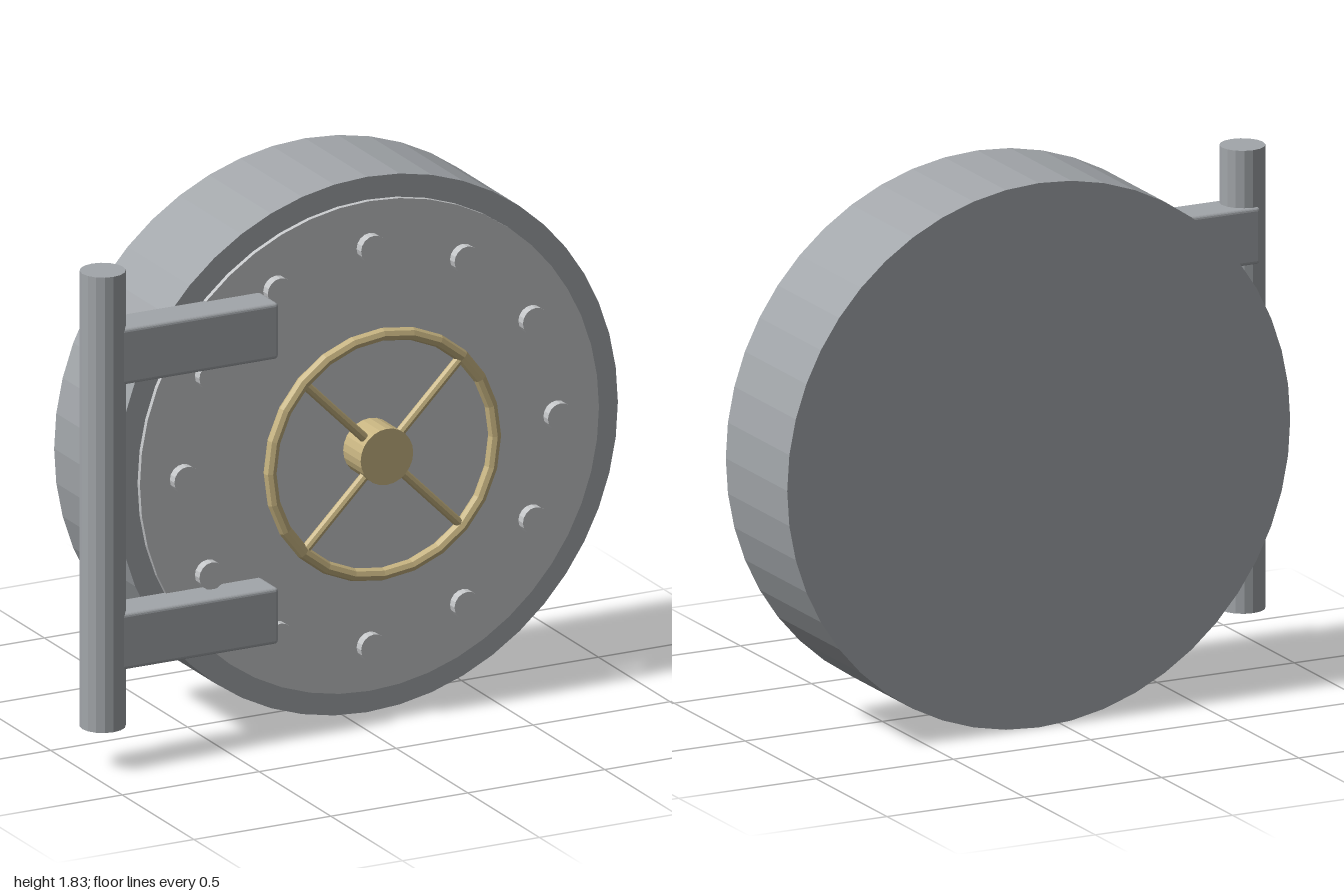
import * as THREE from 'three';
import { RoundedBoxGeometry } from 'three/addons/geometries/RoundedBoxGeometry.js';

export function createModel() {
  const model = new THREE.Group();
  model.name = 'vaultDoor';

  const material = (name, color) => {
    const m = new THREE.MeshStandardMaterial({ color, flatShading: true });
    m.name = name;
    return m;
  };
  const steel = material('steel', 0xa2a6aa);
  const paleSteel = material('pale steel', 0xc4c6c8);
  const brass = material('brass', 0xc8b582);

  const add = (parent, name, geometry, mat, x = 0, y = 0, z = 0) => {
    const mesh = new THREE.Mesh(geometry, mat);
    mesh.name = name;
    mesh.position.set(x, y, z);
    parent.add(mesh);
    return mesh;
  };
  // Round disc facing +z, from z0 to z1
  const disc = (parent, name, radius, z0, z1, sides, mat, x = 0, y = 0) =>
    add(parent, name, new THREE.CylinderGeometry(radius, radius, z1 - z0, sides).rotateX(Math.PI / 2),
      mat, x, y, (z0 + z1) / 2);

  // Door leaf, centred on its own axis
  const door = new THREE.Group();
  door.name = 'door';
  door.position.set(0.083, 0.918, 0);
  model.add(door);
  disc(door, 'doorBody', 0.916, -0.295, 0.138, 48, steel);
  disc(door, 'facePlate', 0.838, 0.13, 0.155, 48, paleSteel);

  // Ring of locking bolts
  for (let i = 0; i < 12; i++) {
    const a = (i * Math.PI) / 6;
    disc(door, 'bolt', 0.047, 0.15, 0.187, 16, paleSteel, 0.682 * Math.cos(a), 0.682 * Math.sin(a));
  }

  // Hand wheel with hub and two crossed spoke bars
  const wheel = new THREE.Group();
  wheel.name = 'handWheel';
  door.add(wheel);
  add(wheel, 'wheelRim', new THREE.TorusGeometry(0.41, 0.022, 8, 24), brass, 0, 0, 0.245);
  disc(wheel, 'wheelHub', 0.096, 0.15, 0.277, 24, brass);
  for (const side of [-1, 1]) {
    const spoke = add(wheel, 'spoke', new THREE.CylinderGeometry(0.016, 0.016, 0.82, 8), brass, 0, 0, 0.245);
    spoke.rotation.z = (side * Math.PI) / 4;
  }

  // Hinge post and its two arms
  add(model, 'hingePost', new THREE.CylinderGeometry(0.075, 0.075, 1.558, 16), steel, -0.925, 0.921, 0.22);
  for (const y of [0.436, 1.411]) {
    add(model, 'hingeArm', new RoundedBoxGeometry(0.64, 0.192, 0.139, 2, 0.012), steel, -0.63, y, 0.2065);
  }
  return model;
}
